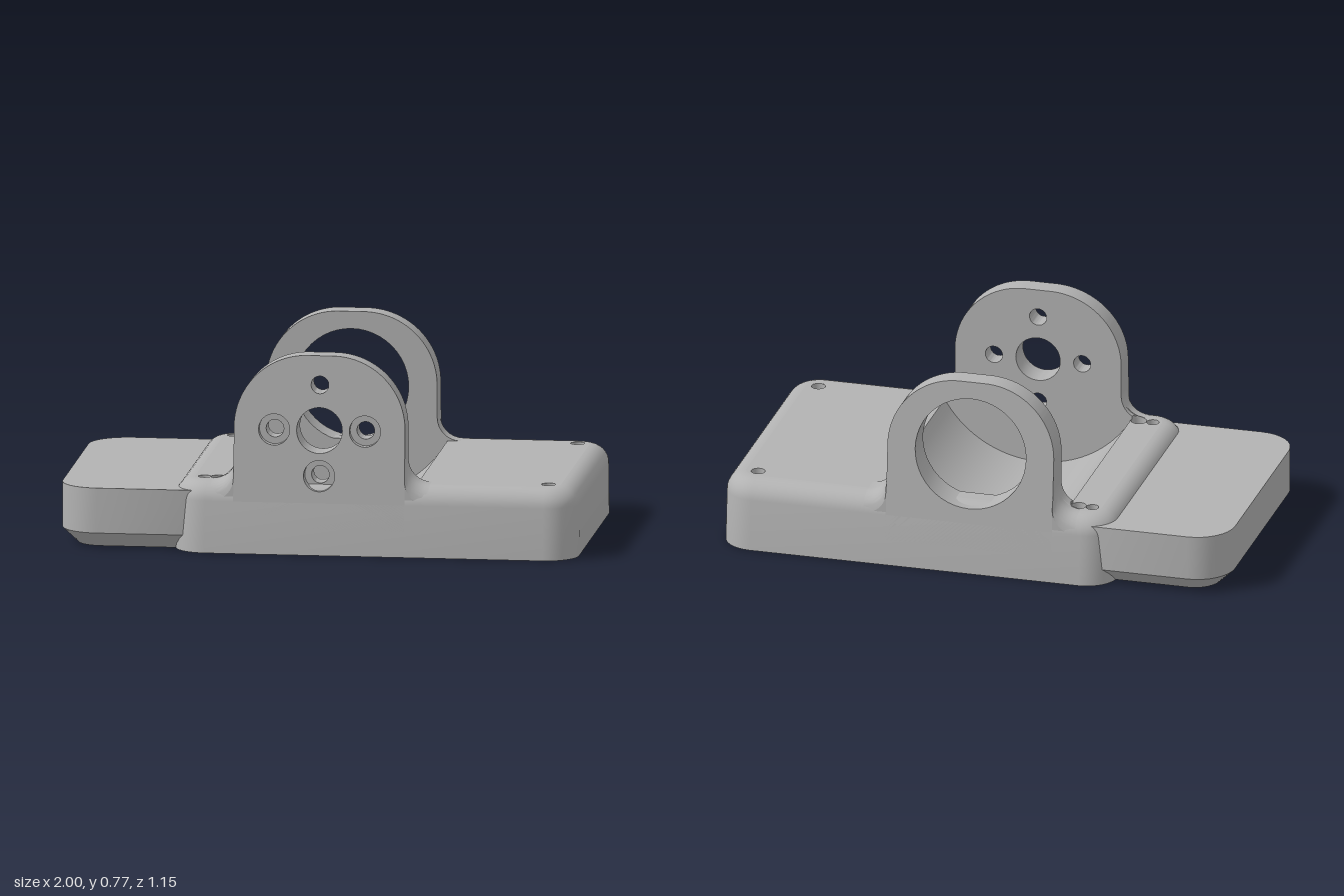
import * as THREE from 'three';
import { toCreasedNormals, mergeGeometries } from 'three/addons/utils/BufferGeometryUtils.js';

const H = 0.272, ROUND = 0.072;          // base height and top edge rounding
const CX = 0.01, CY = 0.48;              // bore axis
const Z_IN_F = 0.435, Z_IN_B = -0.42;    // inner faces of the lugs
const zFront = y => 0.575 - 0.0784 * y;  // drafted outer faces
const zBack = y => -0.575 + 0.09 * y;
const LUG_HALF = 0.33, FILLET = 0.09;
const NOTCH = { x: -0.392, r: 0.03 };    // screw hole that cuts the left fillets
const screwZ = [-0.435, 0.43];

// Rounded rectangle, counter-clockwise in (x, -z); rl, rr = left and right corner radii
function outline(x0, x1, zb, zf, rl, rr) {
  const pts = [], n = 8;
  const corners = [[x1 - rr, -zb - rr, rr, 0], [x0 + rl, -zb - rl, rl, 1],
    [x0 + rl, -zf + rl, rl, 2], [x1 - rr, -zf + rr, rr, 3]];
  for (const [cx, cy, r, q] of corners) {
    for (let i = 0; i <= n; i++) {
      const a = (q + i / n) * Math.PI / 2;
      pts.push(new THREE.Vector2(cx + r * Math.cos(a), cy + r * Math.sin(a)));
    }
  }
  return pts;
}

function circlePath(x, y, r) {
  return new THREE.Path().absarc(x, y, r, 0, Math.PI * 2, true);
}

// Walls joining stacked outlines
function loft(rings) {
  const pos = [], idx = [], n = rings[0].pts.length;
  rings.forEach(({ y, pts }) => pts.forEach(p => pos.push(p.x, y, -p.y)));
  for (let i = 0; i < rings.length - 1; i++) {
    for (let j = 0; j < n; j++) {
      const a = i * n + j, b = i * n + (j + 1) % n;
      idx.push(a, b, b + n, a, b + n, a + n);
    }
  }
  const g = new THREE.BufferGeometry();
  g.setAttribute('position', new THREE.Float32BufferAttribute(pos, 3));
  g.setIndex(idx);
  return toCreasedNormals(g, 0.6);
}

// Horizontal cap; holes are given in (x, -z)
function cap(pts, y, up, holes = []) {
  const shape = new THREE.Shape(up ? pts : pts.map(p => new THREE.Vector2(p.x, -p.y)).reverse());
  shape.holes = holes;
  return new THREE.ShapeGeometry(shape, 16).rotateX(up ? -Math.PI / 2 : Math.PI / 2).translate(0, y, 0);
}

// Surface patch from a rule f(u, v) -> [x, y, z]
function patch(f, nu, nv) {
  const pos = [], idx = [];
  for (let i = 0; i <= nu; i++) for (let j = 0; j <= nv; j++) pos.push(...f(i / nu, j / nv));
  for (let i = 0; i < nu; i++) {
    for (let j = 0; j < nv; j++) {
      const a = i * (nv + 1) + j, b = a + nv + 1;
      idx.push(a, b, b + 1, a, b + 1, a + 1);
    }
  }
  const g = new THREE.BufferGeometry();
  g.setAttribute('position', new THREE.Float32BufferAttribute(pos, 3));
  g.setIndex(idx);
  return toCreasedNormals(g, 0.6);
}

// Lug slab between two z rules, with holes given as [x, y, r]
function lugSlab(holes, zMin, zMax) {
  const s = new THREE.Shape();
  s.moveTo(-LUG_HALF, 0.1);
  s.lineTo(LUG_HALF, 0.1);
  s.absarc(LUG_HALF - 0.28, 0.487, 0.28, 0, Math.PI / 2);
  s.absarc(-LUG_HALF + 0.28, 0.487, 0.28, Math.PI / 2, Math.PI);
  s.closePath();
  s.holes = holes.map(h => circlePath(...h));
  const g = new THREE.ExtrudeGeometry(s, { depth: 1, bevelEnabled: false, curveSegments: 24 });
  const p = g.attributes.position;
  for (let i = 0; i < p.count; i++) {
    const y = p.getY(i);
    p.setZ(i, p.getZ(i) > 0.5 ? zMax(y) : zMin(y));
  }
  return toCreasedNormals(g.translate(CX, 0, 0), 0.6);
}

// Concave fillet beside a lug: side = -1/1 in x, dir = -1/1 in z
function filletGeometries(side, dir) {
  const zIn = dir > 0 ? Z_IN_F : -Z_IN_B, zOut = 0.555;
  const holeZ = Math.abs(screwZ[dir > 0 ? 1 : 0]);
  const point = (u, z) => {
    const t = z - (zOut - ROUND);
    const h = t < 0 ? H : H - ROUND + Math.sqrt(Math.max(0, ROUND * ROUND - t * t));
    let reach = FILLET;
    const dz = z - holeZ;
    if (side < 0 && Math.abs(dz) < NOTCH.r) {
      reach = CX - LUG_HALF - NOTCH.x - Math.sqrt(NOTCH.r ** 2 - dz * dz);
    }
    const a = Math.min(1, u * 9 / 8) * Math.acos(1 - reach / FILLET);
    const y = u > 0.99 ? h : h + FILLET * (1 - Math.sin(a));
    return { x: CX + side * (LUG_HALF + FILLET * (1 - Math.cos(a))), y, h };
  };
  const surface = patch((u, v) => {
    const z = zIn + (zOut - zIn) * v, p = point(u, z);
    return [p.x, p.y, dir * z];
  }, 9, 28);
  const ends = [zIn, zOut].map(z => patch((u, v) => {
    const p = point(u, z);
    return [p.x, p.h + (p.y - p.h) * v, dir * z];
  }, 9, 1));
  return [surface, ...ends];
}

export function createModel() {
  const model = new THREE.Group();
  model.name = 'motorMount';
  const grey = new THREE.MeshStandardMaterial({ color: 0xb2b2b2, side: THREE.DoubleSide });
  grey.name = 'grey';
  const add = (name, geometry) => {
    const m = new THREE.Mesh(geometry, grey);
    m.name = name;
    model.add(m);
    return m;
  };
  const tube = (name, x, z, r, y0, y1) =>
    add(name, new THREE.CylinderGeometry(r, r, y1 - y0, 28, 1, true)).position.set(x, (y0 + y1) / 2, z);

  // Base block with drafted sides and rounded top edge
  const ring = (y, inset) => ({ y, pts: outline(-0.555 + inset, 1 - inset,
    zBack(y) + inset, zFront(y) - inset, 0.125 - inset, 0.125 - inset) });
  const rings = [ring(0, 0)];
  for (let i = 0; i <= 8; i++) {
    const a = i / 8 * Math.PI / 2;
    rings.push(ring(H - ROUND + ROUND * Math.sin(a), ROUND * (1 - Math.cos(a))));
  }
  add('baseSides', loft(rings));

  // Base caps, pierced by the screw holes and the trough opening
  const through = screwZ.flatMap(z => [[0.88, z, 0.027], [NOTCH.x, z, NOTCH.r]]);
  const blind = screwZ.map(z => [-0.447, z, 0.024]);
  const half = 0.37;
  const opening = new THREE.Path([[CX - half, -Z_IN_F], [CX - half, -Z_IN_B], [CX + half, -Z_IN_B],
    [CX + half, -Z_IN_F]].map(p => new THREE.Vector2(...p)));
  add('baseTop', cap(rings[rings.length - 1].pts, H, true,
    [opening, ...[...through, ...blind].map(([x, z, r]) => circlePath(x, -z, r))]));
  add('baseBottom', cap(rings[0].pts, 0, false, through.map(([x, z, r]) => circlePath(x, z, r))));
  through.forEach(([x, z, r]) => tube('screwHole', x, z, r, 0, H));
  blind.forEach(([x, z, r]) => tube('blindHole', x, z, r, 0.235, H));

  // Cylindrical trough between the lugs
  const radius = Math.hypot(half, CY - H), sweep = Math.atan2(half, CY - H);
  add('trough', patch((u, v) => {
    const a = (2 * u - 1) * sweep;
    return [CX + radius * Math.sin(a), CY - radius * Math.cos(a), Z_IN_F + (Z_IN_B - Z_IN_F) * v];
  }, 40, 1));
  for (const z of [Z_IN_F, Z_IN_B]) {
    const seg = new THREE.Shape().absarc(0, 0, radius, -Math.PI / 2 - sweep, -Math.PI / 2 + sweep);
    const g = new THREE.ShapeGeometry(seg, 40);
    if (z > 0) g.rotateY(Math.PI);
    add('troughEnd', g.translate(CX, CY, z));
  }

  // Side flange with a chamfered lower edge
  const flange = [[0, 0.06], [0.06, 0], [0.235, 0]].map(([y, c]) =>
    ({ y, pts: outline(-1 + c, -0.425, -0.537 + c, 0.534 - c, 0.15 - c * 0.8, 0.01) }));
  add('flange', mergeGeometries([loft(flange), cap(flange[2].pts, 0.235, true).toNonIndexed(),
    cap(flange[0].pts, 0, false).toNonIndexed()].map(g => {
    g.deleteAttribute('uv');
    return g;
  })));

  // Front lug: inner layer with screw holes, outer layer with counterbores
  const bolts = [[0, 0.175], [-0.175, 0], [0.175, 0], [0, -0.175]];
  const holes = big => [[0, CY, 0.088], ...bolts.map(([x, y]) => [x, CY + y, big && y <= 0 ? 0.06 : 0.034])];
  add('frontLugInner', lugSlab(holes(false), () => Z_IN_F, () => 0.51));
  add('frontLugOuter', lugSlab(holes(true), () => 0.51, zFront));

  // Back lug with one large bore
  add('backLug', lugSlab([[0, CY, 0.22]], zBack, () => Z_IN_B));

  // Fillets where the lugs meet the base
  for (const side of [-1, 1]) {
    for (const dir of [-1, 1]) filletGeometries(side, dir).forEach(g => add('lugFillet', g));
  }
  return model;
}
